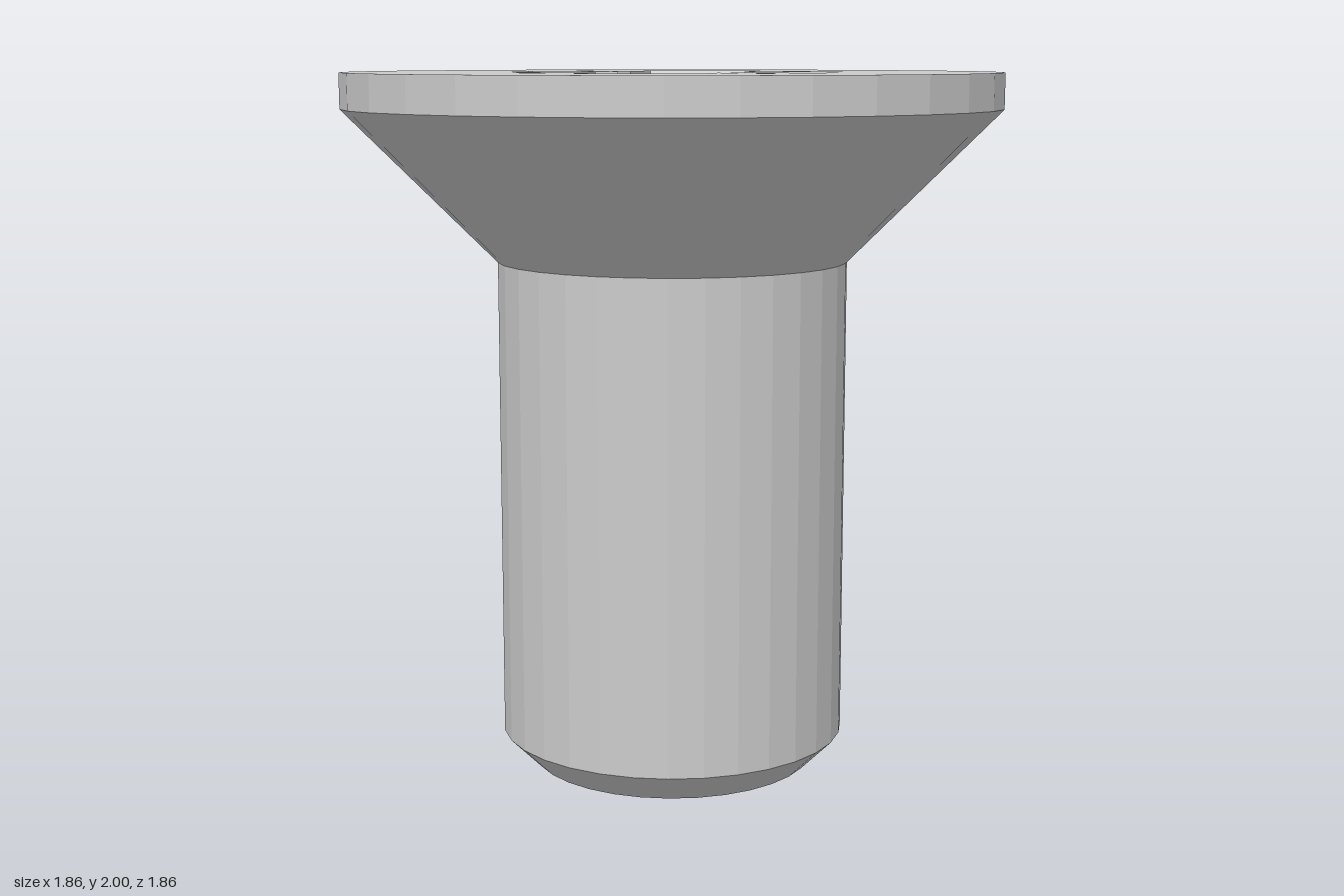
import * as THREE from 'three';

const TOP = 2, FLOOR = 1.5, SLOT = 1.85, R = 0.93, RIM = 0.211;
const material = new THREE.MeshStandardMaterial({ color: 0xcccccc, flatShading: true });

// Quarter-turn a point about the y axis, k times
function turn([x, y, z], k) {
  for (let i = 0; i < k; i++) [x, z] = [-z, x];
  return [x, y, z];
}

function lathe(points) {
  return new THREE.LatheGeometry(points.map(p => new THREE.Vector2(...p)), 32);
}

export function createModel() {
  const group = new THREE.Group();
  const add = (name, geometry) => {
    const mesh = new THREE.Mesh(geometry, material);
    mesh.name = name;
    group.add(mesh);
  };

  // Shank with chamfered tip, and countersunk head
  add('shank', lathe([[0, 0], [0.41, 0], [0.5, 0.09], [0.5, 1.47]]));
  add('head', lathe([[0.5, 1.47], [R, 1.9], [R, TOP]]));

  // One quarter of the recess: rim corners, slot floor corners, cross floor corners
  const A = [0.46, TOP, 0.17], B = [0.2, TOP, 0.17], S = [0.38, TOP, 0.35];
  const s = [0.326, SLOT, 0.296];
  const a = [0.26, FLOOR, 0.125], b = [0.17, FLOOR, 0.125];
  const t = (TOP - SLOT) / (TOP - FLOOR);
  const m = B.map((v, i) => v + (b[i] - v) * t);
  const mirror = ([x, y, z]) => [z, y, x];
  const [D, C, S2, s2, d, c, m2] = [A, B, S, s, a, b, m].map(mirror);

  // Walls of the cross recess and its diagonal slots
  const crossWalls = [], slotWalls = [];
  const quad = (out, k, P, Q, p, q) => {
    for (const v of [Q, P, p, Q, p, q]) out.push(...turn(v, k));
  };
  const rim = [];
  for (let k = 0; k < 4; k++) {
    quad(crossWalls, k, A, B, a, b);
    quad(crossWalls, k, m, m2, b, c);
    quad(crossWalls, k, C, D, c, d);
    quad(crossWalls, k, D, turn(A, 1), d, turn(a, 1));
    quad(slotWalls, k, B, S, m, s);
    quad(slotWalls, k, S, S2, s, s2);
    quad(slotWalls, k, S2, C, s2, m2);
    quad(slotWalls, k, s, s2, m, m2);
    for (const v of [A, B, S, S2, C, D]) {
      const [x, , z] = turn(v, k);
      rim.push(new THREE.Vector2(x, -z));
    }
  }
  const surface = (coords) => {
    const g = new THREE.BufferGeometry();
    g.setAttribute('position', new THREE.Float32BufferAttribute(coords, 3));
    g.computeVertexNormals();
    return g;
  };
  add('recessWalls', surface(crossWalls));
  add('slotWalls', surface(slotWalls));

  // Flat top of the head, pierced by the recess
  const disc = new THREE.Shape(Array.from({ length: 32 }, (_, i) => {
    const angle = i * Math.PI / 16;
    return new THREE.Vector2(R * Math.cos(angle), R * Math.sin(angle));
  }));
  disc.holes.push(new THREE.Path(rim));
  add('headTop', new THREE.ShapeGeometry(disc).rotateX(-Math.PI / 2).translate(0, TOP, 0));

  // Floor of each cross arm, cut by the central cone
  const angle = Math.atan2(0.17, 0.125);
  for (let k = 0; k < 4; k++) {
    const arm = new THREE.Shape();
    arm.moveTo(0.125, 0.17);
    arm.lineTo(0.125, 0.26);
    arm.lineTo(-0.125, 0.26);
    arm.lineTo(-0.125, 0.17);
    arm.absarc(0, 0, RIM, Math.PI - angle, angle, true);
    add('recessFloor', new THREE.ShapeGeometry(arm, 8)
      .rotateX(-Math.PI / 2).rotateY(k * Math.PI / 2).translate(0, FLOOR, 0));
  }

  // Conical bottom of the recess
  add('recessCone', lathe([[RIM, FLOOR], [0, FLOOR - 0.1]]));

  return group;
}
